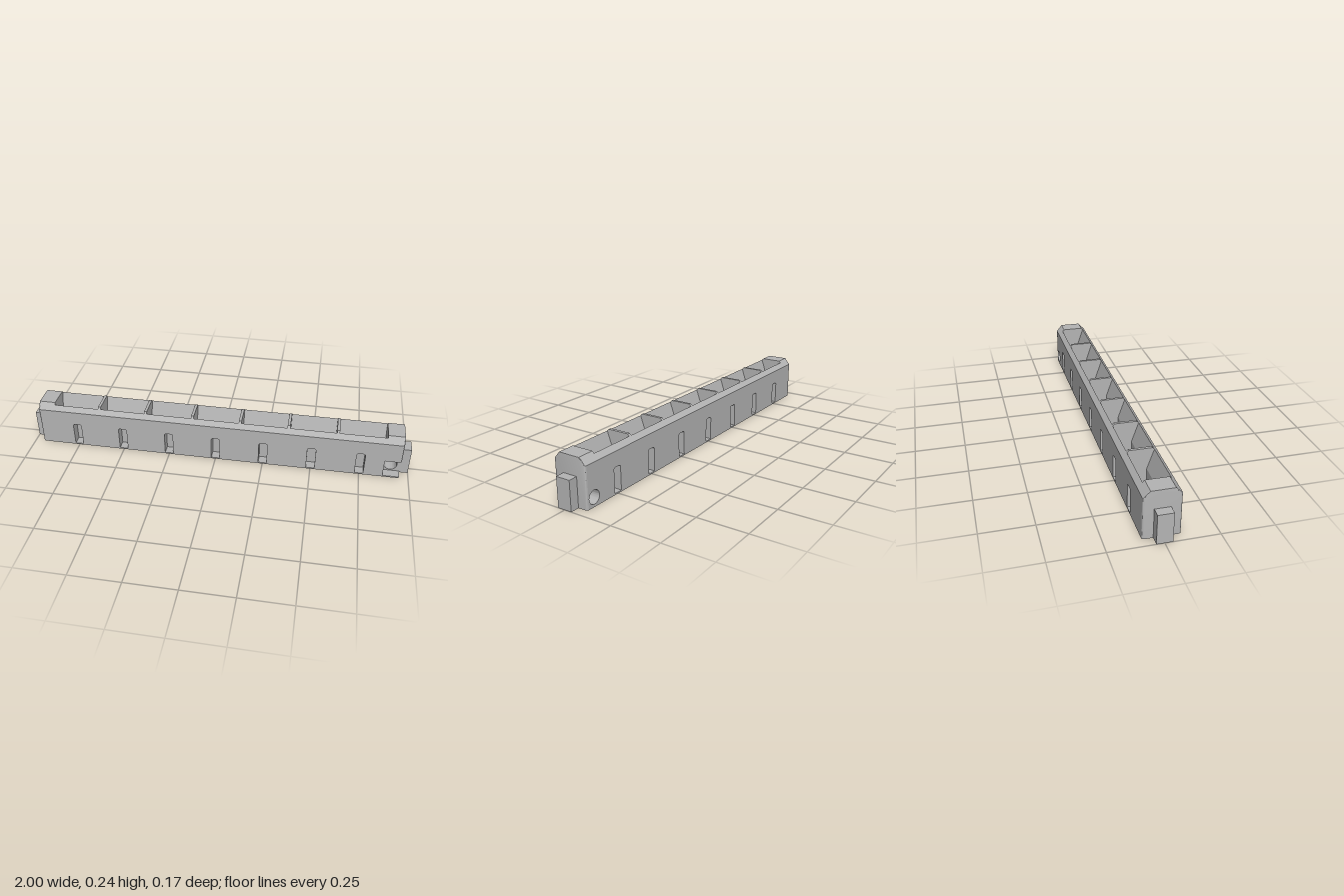
import * as THREE from 'three';
import { toCreasedNormals } from 'three/addons/utils/BufferGeometryUtils.js';

const HALF_Z = 0.087, TOP = 0.238, CORE = 0.037;
const CELL_X = 0.87, END_X = 0.955, ROUND = 0.01;

export function createModel() {
  const model = new THREE.Group();
  model.name = 'connectorHousing';
  const grey = new THREE.MeshStandardMaterial({ color: 0xb4b4b4 });
  grey.name = 'light grey';

  const add = (name, geometry, parent = model) => {
    const mesh = new THREE.Mesh(geometry, grey);
    mesh.name = name;
    parent.add(mesh);
    return mesh;
  };
  const polygon = (pts) => new THREE.Shape(pts.map(([x, y]) => new THREE.Vector2(x, y)));

  // Extrudes a [z, y] cross-section along x
  const alongX = (profile, x0, x1, steps = 1) => {
    const g = new THREE.ExtrudeGeometry(polygon(profile.map(([z, y]) => [-z, y])),
      { depth: x1 - x0, steps, bevelEnabled: false });
    g.rotateY(Math.PI / 2);
    g.translate(x0, 0, 0);
    return g;
  };
  // Extrudes an x-y shape along z
  const alongZ = (shape, z0, z1) => {
    const g = new THREE.ExtrudeGeometry(shape, { depth: z1 - z0, bevelEnabled: false, curveSegments: 24 });
    g.translate(0, 0, z0);
    return g;
  };
  const box = (name, x0, x1, y0, y1, z0, z1) => {
    const g = new THREE.BoxGeometry(x1 - x0, y1 - y0, z1 - z0);
    g.translate((x0 + x1) / 2, (y0 + y1) / 2, (z0 + z1) / 2);
    return add(name, g);
  };
  // Rounds the outer vertical edges of an end slice
  const roundEnd = (g) => {
    const p = g.attributes.position;
    for (let i = 0; i < p.count; i++) {
      const d = Math.max(0, Math.abs(p.getX(i)) - (END_X - ROUND));
      const limit = HALF_Z - ROUND + Math.sqrt(Math.max(0, ROUND * ROUND - d * d));
      p.setZ(i, THREE.MathUtils.clamp(p.getZ(i), -limit, limit));
    }
    return toCreasedNormals(g, 0.6);
  };

  // Chamfered roof line shared by the end blocks
  const roof = [[-HALF_Z, 0.205], [-0.055, TOP], [0.055, TOP], [HALF_Z, 0.205]];
  const fullProfile = [[-HALF_Z, 0], ...roof, [HALF_Z, 0]];
  const notchedProfile = [[-HALF_Z, 0], ...roof, [HALF_Z, 0.1], [CORE, 0.1],
    [CORE, 0.007], [HALF_Z, 0.007], [HALF_Z, 0]];
  const inner = END_X - ROUND;

  // Left and right in names follow the model's own sides (+x is left)
  add('rightEndBlock', alongX(fullProfile, -inner, -CELL_X));
  add('rightEndCap', roundEnd(alongX(fullProfile, -END_X, -inner, 6)));

  // Left end: notch at the front and a cross hole
  add('leftEndUpperBlock', alongX([[-HALF_Z, 0.1], ...roof, [HALF_Z, 0.1]], CELL_X, inner));
  const holed = polygon([[CELL_X, 0], [inner, 0], [inner, 0.1], [CELL_X, 0.1]]);
  const hole = new THREE.Path();
  hole.absarc(0.907, 0.046, 0.033, 0, Math.PI * 2, true);
  holed.holes.push(hole);
  add('leftEndHoleBlock', toCreasedNormals(alongZ(holed, -HALF_Z, CORE), 0.6));
  box('notchFloor', CELL_X, inner, 0, 0.007, CORE, HALF_Z);
  add('leftEndCap', roundEnd(alongX(notchedProfile, inner, END_X, 6)));

  // Locating tabs at both ends
  box('leftTab', END_X - 0.002, 1, 0, 0.147, -CORE, CORE);
  box('rightTab', -1, -END_X + 0.002, 0, 0.147, -CORE, CORE);

  // Outer skin with seven blind slots
  const skin = polygon([[-CELL_X, 0], [CELL_X, 0], [CELL_X, 0.14], [-CELL_X, 0.14]]);
  const w = 0.022, c = 0.006;
  for (let i = -3; i <= 3; i++) {
    const x = i * 0.25;
    skin.holes.push(new THREE.Path([
      [x - w, 0.007], [x - w, 0.13 - c], [x - w + c, 0.13],
      [x + w - c, 0.13], [x + w, 0.13 - c], [x + w, 0.007],
    ].map(([px, py]) => new THREE.Vector2(px, py))));
  }
  // Inner wall, flaring outward to the chamfered rim
  const wallProfile = [[0.03, 0], [CORE, 0], [CORE, 0.14], [HALF_Z, 0.14],
    [HALF_Z, 0.205], [0.064, 0.2287], [0.03, 0.13]];

  for (const [name, turn] of [['frontWall', 0], ['backWall', Math.PI]]) {
    const wall = new THREE.Group();
    wall.name = name;
    wall.rotation.y = turn;
    add(name + 'Skin', alongZ(skin, CORE, HALF_Z), wall);
    add(name + 'Liner', alongX(wallProfile, -CELL_X, CELL_X), wall);
    model.add(wall);
  }

  // Thin dividers between the seven cells
  const half = [[0.032, 0.001], [0.034, 0.13], [0.066, 0.212], [0.066, 0.2265], [0.055, TOP]];
  const dividerProfile = [...half, ...half.map(([z, y]) => [-z, y]).reverse()];
  for (let i = -3; i < 3; i++) {
    const x = (i + 0.5) * 0.25;
    add('divider', alongX(dividerProfile, x - 0.007, x + 0.007));
  }
  return model;
}
